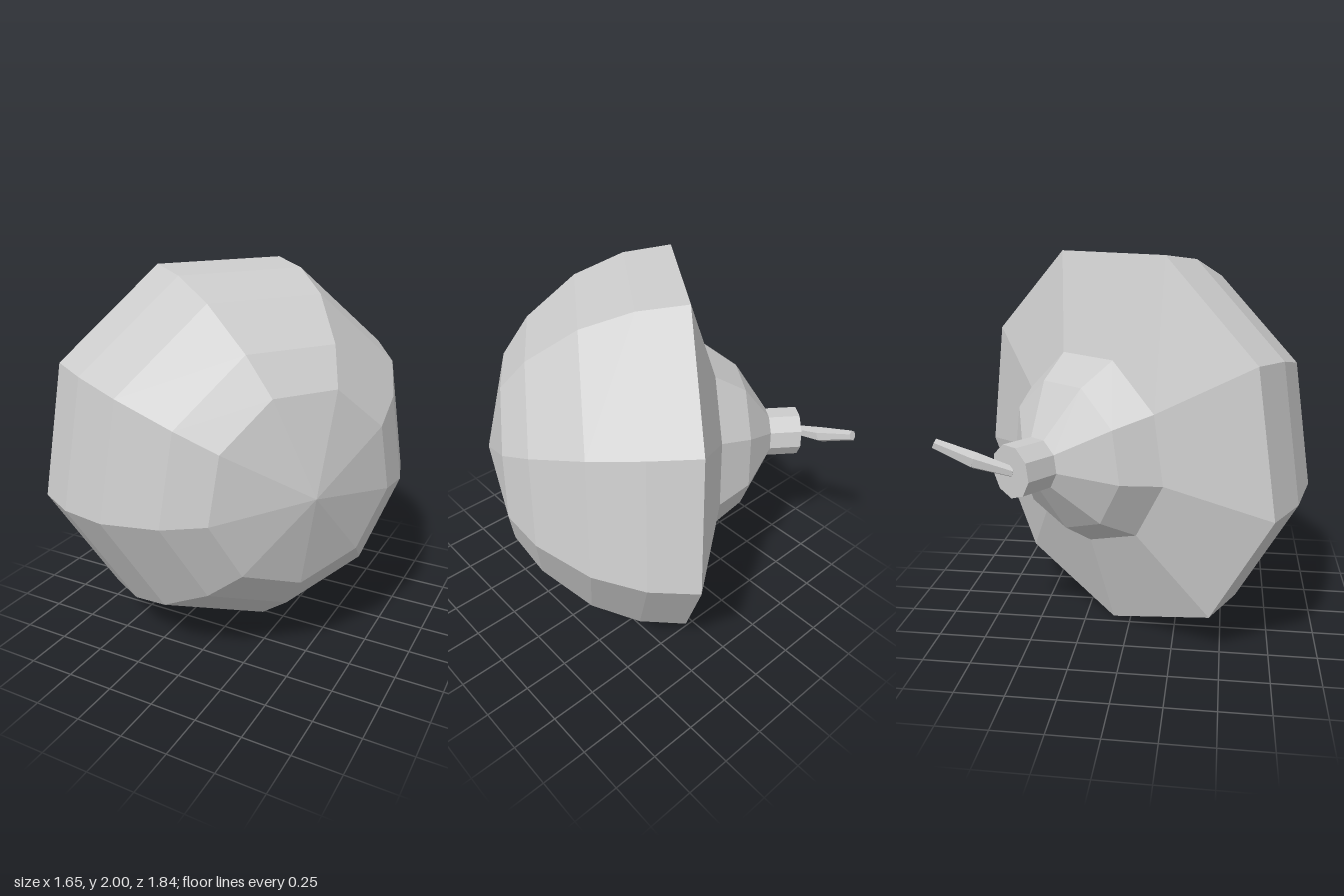
import * as THREE from 'three';

const SIDES = 9;
const material = new THREE.MeshStandardMaterial({ color: 0xcccccc, flatShading: true });

// Nine-sided turned part; profile is [radius, distance along the axis], back to front.
function turned(name, profile) {
  const points = profile.map(([r, t]) => new THREE.Vector2(r, t));
  const geometry = new THREE.LatheGeometry(points, SIDES).rotateX(Math.PI / 2);
  const mesh = new THREE.Mesh(geometry, material);
  mesh.name = name;
  return mesh;
}

// Tapered rod between two points.
function rod(name, from, to, r0, r1) {
  const a = new THREE.Vector3(...from), b = new THREE.Vector3(...to);
  const dir = b.clone().sub(a);
  const mesh = new THREE.Mesh(new THREE.CylinderGeometry(r1, r0, dir.length(), 6), material);
  mesh.name = name;
  mesh.position.copy(a).add(b).multiplyScalar(0.5);
  mesh.quaternion.setFromUnitVectors(new THREE.Vector3(0, 1, 0), dir.normalize());
  return mesh;
}

export function createModel() {
  const model = new THREE.Group();
  model.name = 'domedBody';

  // Turned body, lying on its side with the dome facing front left
  const body = new THREE.Group();
  body.name = 'body';
  body.position.set(-0.195, 1.031, -0.095);
  body.rotation.y = Math.atan2(0.81, 0.585);

  // Half-sphere dome
  const R = 1.031;
  const dome = [0, 0.25, 0.507, 0.764, 0.9].map(t => [Math.sqrt(R * R - t * t), t]);
  body.add(turned('dome', [...dome, [0, 1.02]]));

  // Shallow cone closing the back of the dome
  body.add(turned('backPlate', [[0.507, -0.172], [R, 0]]));

  // Smaller rounded shoulder
  body.add(turned('shoulder', [[0.132, -0.512], [0.385, -0.345], [0.507, -0.172]]));

  // Short stem with a flat end
  body.add(turned('stem', [[0, -0.682], [0.132, -0.682], [0.132, -0.512]]));
  model.add(body);

  // Bent cord rising from the stem end
  const bend = [-0.757, 1.085, -0.66];
  model.add(rod('cordBase', [-0.745, 1.03, -0.48], bend, 0.026, 0.042));
  model.add(rod('cordTip', bend, [-0.775, 1.165, -0.84], 0.042, 0.027));

  return model;
}
